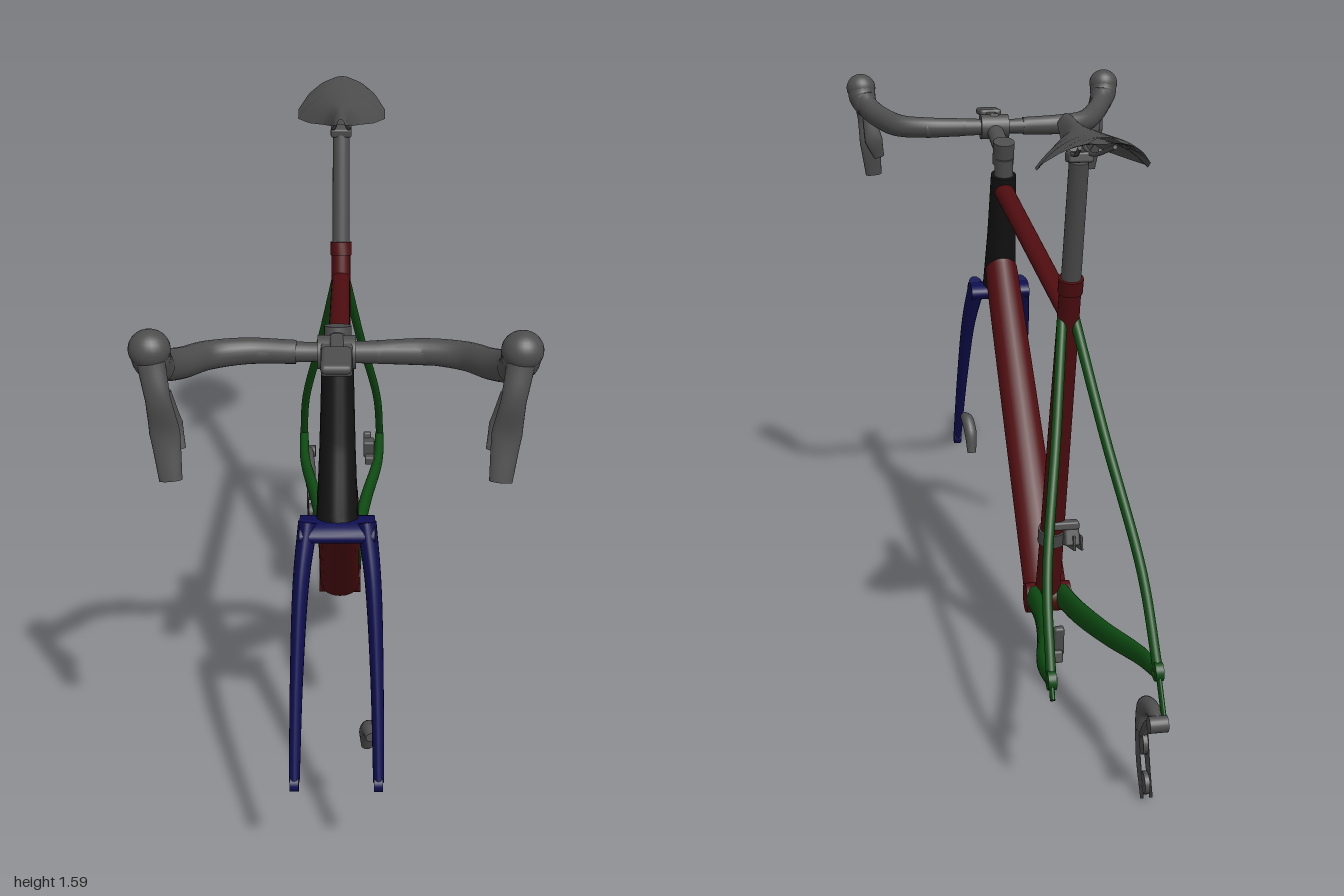
import * as THREE from 'three';
import { RoundedBoxGeometry } from 'three/addons/geometries/RoundedBoxGeometry.js';

const mat = (name, color) => {
  const m = new THREE.MeshStandardMaterial({ color });
  m.name = name;
  return m;
};

const V = (p) => new THREE.Vector3(...p);

// Closed smooth tube through points; radii = [sideways, other] pairs spread along it.
function sweep(points, radii, ref = [1, 0, 0], segs = 24, sides = 20) {
  const curve = new THREE.CatmullRomCurve3(points.map(V), false, 'centripetal');
  const pos = [], idx = [];
  const ring = (u) => {
    const p = curve.getPoint(u), t = curve.getTangent(u), r0 = V(ref);
    const s = r0.clone().addScaledVector(t, -r0.dot(t)).normalize();
    const n = t.clone().cross(s);
    const f = u * (radii.length - 1), k = Math.min(Math.floor(f), radii.length - 2);
    const a = THREE.MathUtils.lerp(radii[k][0], radii[k + 1][0], f - k);
    const b = THREE.MathUtils.lerp(radii[k][1], radii[k + 1][1], f - k);
    const start = pos.length / 3;
    for (let j = 0; j < sides; j++) {
      const w = (j / sides) * Math.PI * 2;
      pos.push(...p.clone().addScaledVector(s, Math.cos(w) * a).addScaledVector(n, Math.sin(w) * b).toArray());
    }
    return start;
  };
  for (let i = 0; i <= segs; i++) ring(i / segs);
  for (let i = 0; i < segs; i++) for (let j = 0; j < sides; j++) {
    const a = i * sides + j, b = i * sides + (j + 1) % sides;
    idx.push(a, b, a + sides, b, b + sides, a + sides);
  }
  // end caps with their own vertices keep the rims sharp
  for (const u of [0, 1]) {
    const st = ring(u), c = pos.length / 3;
    pos.push(...curve.getPoint(u).toArray());
    for (let j = 0; j < sides; j++) {
      const a = st + j, b = st + (j + 1) % sides;
      if (u) idx.push(c, a, b); else idx.push(c, b, a);
    }
  }
  const g = new THREE.BufferGeometry();
  g.setAttribute('position', new THREE.Float32BufferAttribute(pos, 3));
  g.setIndex(idx);
  g.computeVertexNormals();
  return g;
}

// Piecewise-linear lookup in [key, value] rows.
function lookup(rows, x) {
  for (let i = 1; i < rows.length; i++) {
    const [x0, y0] = rows[i - 1], [x1, y1] = rows[i];
    if (x <= x1) return y0 + (y1 - y0) * (x - x0) / (x1 - x0);
  }
  return rows[rows.length - 1][1];
}

// Saddle skin: arched sheet, top or underside, meeting along the rim.
function saddleSheet(thickness) {
  const width = [[0, 0.012], [0.03, 0.025], [0.25, 0.033], [0.38, 0.052], [0.5, 0.093], [0.66, 0.128], [0.78, 0.128], [0.9, 0.1], [0.97, 0.065], [1, 0.035]];
  const drop = [[0, 0.018], [0.25, 0.045], [0.5, 0.068], [0.72, 0.08], [0.88, 0.045], [1, 0.012]];
  const g = new THREE.PlaneGeometry(2, 1, 20, 32), p = g.attributes.position;
  for (let i = 0; i < p.count; i++) {
    const v = p.getX(i), t = 0.5 - p.getY(i);
    const y = 1.587 - 0.01 * Math.sin(t * Math.PI) - lookup(drop, t) * Math.pow(Math.abs(v), 2.2);
    p.setXYZ(i, v * lookup(width, t), y - thickness * (1 - v * v), -0.405 - 0.425 * t);
  }
  g.computeVertexNormals();
  return g;
}

export function createModel() {
  const red = mat('frame red', 0x4f0d10), green = mat('stay green', 0x0e4a12), blue = mat('fork blue', 0x0e0e50);
  const black = mat('head tube black', 0x121212), grey = mat('component grey', 0x4d4d4d);
  const greySheet = mat('saddle grey', 0x4d4d4d);
  greySheet.side = THREE.DoubleSide;

  const model = new THREE.Group();
  model.name = 'bicycleFrame';
  const add = (name, geo, m, pos = [0, 0, 0], rot = [0, 0, 0]) => {
    const mesh = new THREE.Mesh(geo, m);
    mesh.name = name;
    mesh.position.set(...pos);
    mesh.rotation.set(...rot);
    model.add(mesh);
    return mesh;
  };
  const tube = (name, m, pts, radii, ref, segs) => add(name, sweep(pts, radii, ref, segs), m);
  const box = (name, m, size, pos, rx = 0, r = 0.006) =>
    add(name, new RoundedBoxGeometry(...size, 2, r), m, pos, [rx, 0, 0]);
  const disc = (name, m, r, w, pos) =>
    add(name, new THREE.CylinderGeometry(r, r, w, 24), m, pos, [0, 0, Math.PI / 2]);

  // Main triangle
  tube('headTube', black, [[0, 0.93, 0.635], [0, 1.1, 0.585], [0, 1.285, 0.538]], [[0.05, 0.06], [0.043, 0.046], [0.038, 0.042]]);
  tube('downTube', red, [[0, 0.985, 0.595], [0, 0.23, -0.15]], [[0.048, 0.058], [0.054, 0.05], [0.06, 0.042]]);
  tube('topTube', red, [[0, 1.235, 0.53], [0, 1.1, -0.44]], [[0.03, 0.03], [0.026, 0.019]]);
  tube('seatTube', red, [[0, 0.23, -0.178], [0, 1.185, -0.475]], [[0.036, 0.032], [0.027, 0.027]]);
  tube('seatCollar', red, [[0, 1.16, -0.467], [0, 1.197, -0.479]], [[0.031, 0.032], [0.031, 0.032]], undefined, 2);
  disc('bottomBracketShell', red, 0.041, 0.124, [0, 0.226, -0.178]);

  // Fork
  tube('forkCrown', blue, [[-0.09, 0.905, 0.65], [0.09, 0.905, 0.65]], [[0.026, 0.05], [0.026, 0.05]], [0, 1, 0], 2);
  for (const s of [-1, 1]) {
    tube('forkLeg', blue, [[s * 0.07, 0.922, 0.645], [s * 0.086, 0.8, 0.71], [s * 0.097, 0.58, 0.805], [s * 0.102, 0.345, 0.907]],
      [[0.024, 0.045], [0.02, 0.041], [0.016, 0.03], [0.013, 0.018]]);
    disc('frontDropout', blue, 0.02, 0.022, [s * 0.102, 0.342, 0.908]);

    // Rear stays
    tube('chainStay', green, [[s * 0.04, 0.232, -0.2], [s * 0.05, 0.255, -0.36], [s * 0.08, 0.283, -0.56], [s * 0.12, 0.313, -0.76], [s * 0.127, 0.338, -0.9]],
      [[0.022, 0.036], [0.02, 0.033], [0.017, 0.027], [0.014, 0.02]]);
    tube('seatStay', green, [[s * 0.015, 1.09, -0.445], [s * 0.06, 0.83, -0.6], [s * 0.115, 0.54, -0.78], [s * 0.128, 0.338, -0.9]],
      [[0.013, 0.015], [0.012, 0.013]]);
    disc('rearDropout', green, 0.023, 0.02, [s * 0.128, 0.338, -0.9]);
    tube('dropoutTab', green, [[s * 0.128, 0.34, -0.9], [s * 0.13, s < 0 ? 0.245 : 0.3, s < 0 ? -0.955 : -0.928]], [[0.006, 0.014], [0.006, 0.012]], undefined, 4);
  }

  // Seatpost and saddle
  tube('seatpost', grey, [[0, 1.18, -0.473], [0, 1.495, -0.562]], [[0.025, 0.025], [0.024, 0.024]]);
  box('saddleClamp', grey, [0.06, 0.025, 0.055], [0, 1.505, -0.565], 0.1);
  for (const s of [-1, 1]) {
    tube('saddleRail', grey, [[s * 0.012, 1.565, -0.45], [s * 0.022, 1.52, -0.53], [s * 0.022, 1.518, -0.62], [s * 0.04, 1.555, -0.76]], [[0.005, 0.005], [0.005, 0.005]]);
  }
  add('saddleTop', saddleSheet(0), greySheet);
  add('saddleUnderside', saddleSheet(0.015), greySheet);

  // Stem
  tube('steererSpacer', grey, [[0, 1.27, 0.542], [0, 1.335, 0.527]], [[0.03, 0.03], [0.027, 0.027]], undefined, 2);
  tube('stemSteererClamp', grey, [[0, 1.318, 0.548], [0, 1.385, 0.528]], [[0.032, 0.034], [0.032, 0.034]], undefined, 2);
  tube('stem', grey, [[0, 1.35, 0.53], [0, 1.4, 0.72]], [[0.027, 0.024], [0.025, 0.024]]);
  disc('stemBarClamp', grey, 0.038, 0.085, [0, 1.405, 0.715]);
  box('stemFaceplate', grey, [0.07, 0.07, 0.035], [0, 1.4, 0.745], 0.15);
  box('frontMountArm', grey, [0.03, 0.015, 0.12], [0, 1.435, 0.76], 0.05);
  box('frontMount', grey, [0.068, 0.022, 0.1], [0, 1.437, 0.825], 0.05, 0.01);

  // Handlebar, hoods and brake levers
  tube('handlebarTop', grey, [[-0.21, 1.405, 0.715], [0.21, 1.405, 0.715]], [[0.03, 0.027], [0.022, 0.022], [0.03, 0.027]], [0, 1, 0]);
  for (const s of [-1, 1]) {
    tube('handlebarBend', grey, [[s * 0.09, 1.405, 0.715], [s * 0.2, 1.407, 0.715], [s * 0.285, 1.41, 0.745], [s * 0.335, 1.425, 0.815], [s * 0.37, 1.45, 0.875], [s * 0.385, 1.475, 0.905]],
      [[0.027, 0.025], [0.031, 0.028], [0.035, 0.03], [0.036, 0.03], [0.037, 0.032]], [0, 1, 0], 40);
    tube('brakeHood', grey, [[s * 0.372, 1.445, 0.885], [s * 0.386, 1.48, 0.912], [s * 0.389, 1.515, 0.92]], [[0.033, 0.035], [0.042, 0.042], [0.042, 0.038]]);
    const knob = add('hoodKnob', new THREE.SphereGeometry(0.045, 24, 16), grey, [s * 0.389, 1.508, 0.922]);
    knob.scale.set(1, 0.95, 0.95);
    tube('brakeLever', grey, [[s * 0.385, 1.485, 0.94], [s * 0.372, 1.41, 0.962], [s * 0.362, 1.33, 0.958], [s * 0.352, 1.225, 0.978]],
      [[0.03, 0.02], [0.027, 0.014], [0.033, 0.011], [0.025, 0.011]]);
    tube('shiftPaddle', grey, [[s * 0.365, 1.42, 0.945], [s * 0.352, 1.34, 0.938], [s * 0.335, 1.285, 0.95]],
      [[0.02, 0.01], [0.028, 0.008], [0.016, 0.006]]);
  }

  // Brake calipers, on the left leg and left chain stay
  tube('frontCaliper', grey, [[0.085, 0.435, 0.85], [0.08, 0.43, 0.81], [0.075, 0.395, 0.777], [0.075, 0.335, 0.757]],
    [[0.014, 0.012], [0.02, 0.022], [0.02, 0.02], [0.014, 0.009]]);
  box('rearCaliper', grey, [0.036, 0.06, 0.035], [0.09, 0.365, -0.755], 0.15);
  box('rearCaliperArm', grey, [0.025, 0.065, 0.02], [0.085, 0.38, -0.77], -0.15);
  box('rearCaliperFoot', grey, [0.03, 0.03, 0.07], [0.092, 0.335, -0.755], 0.15);

  // Front derailleur
  tube('frontDerailleurBand', grey, [[0, 0.415, -0.236], [0, 0.455, -0.248]], [[0.038, 0.036], [0.038, 0.036]], undefined, 2);
  box('frontDerailleurBody', grey, [0.04, 0.05, 0.05], [-0.045, 0.44, -0.275], 0.3);
  box('frontDerailleurLink', grey, [0.07, 0.022, 0.035], [-0.03, 0.475, -0.28], 0.1);
  for (const x of [-0.068, -0.048]) box('frontDerailleurCage', grey, [0.006, 0.04, 0.1], [x, 0.42, -0.265], 0.25, 0.002);

  // Rear derailleur on the right dropout
  const rx = -0.105;
  disc('derailleurMount', grey, 0.02, 0.045, [rx - 0.008, 0.235, -0.965]);
  tube('derailleurBody', grey, [[rx - 0.01, 0.235, -0.975], [rx - 0.008, 0.247, -0.91], [rx - 0.004, 0.225, -0.858], [rx, 0.165, -0.845]],
    [[0.015, 0.014], [0.018, 0.02], [0.02, 0.026], [0.016, 0.024]]);
  tube('derailleurLink', grey, [[rx, 0.225, -0.945], [rx, 0.2, -0.895], [rx, 0.155, -0.862]], [[0.008, 0.008], [0.009, 0.01]]);
  for (const x of [rx - 0.011, rx + 0.011]) {
    tube('derailleurCage', grey, [[x, 0.16, -0.845], [x, 0.085, -0.865], [x, 0.008, -0.905]], [[0.003, 0.02], [0.003, 0.024], [0.003, 0.014]]);
  }
  disc('upperJockeyWheel', grey, 0.03, 0.012, [rx, 0.135, -0.862]);
  disc('lowerJockeyWheel', grey, 0.028, 0.012, [rx, 0.04, -0.888]);
  return model;
}
